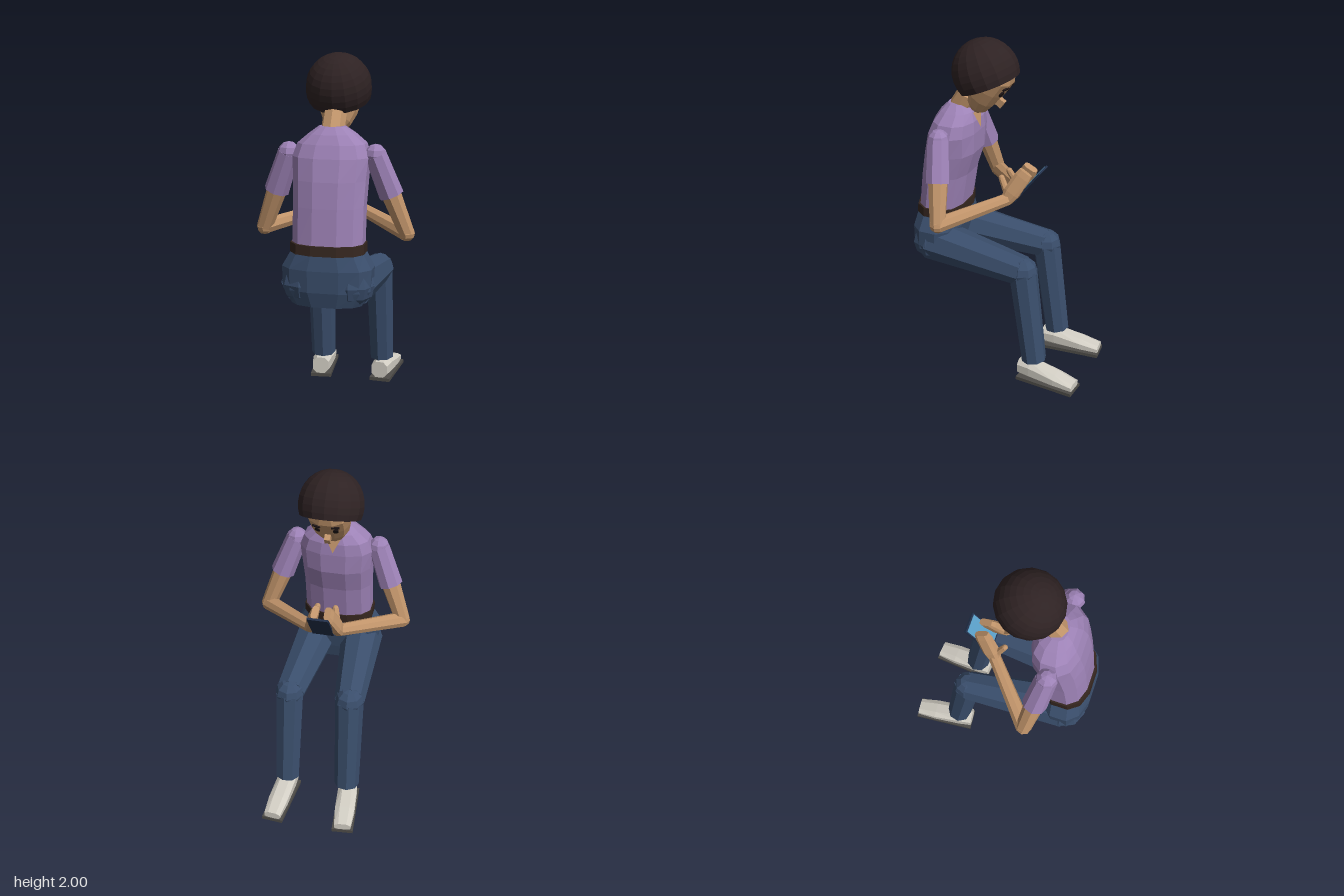
import * as THREE from 'three';

const mat = (name, color) => {
  const m = new THREE.MeshStandardMaterial({ color });
  m.name = name;
  return m;
};

// Faceted normals for the low-poly look
function facet(geo) {
  const g = geo.index ? geo.toNonIndexed() : geo;
  g.computeVertexNormals();
  return g;
}

// Stack of rounded cross-sections along y; each ring is [y, halfWidth, zMin, zMax]
function loft(rings, sides = 12, power = 0.8) {
  const pos = [], idx = [];
  const soft = (v) => Math.sign(v) * Math.abs(v) ** power;
  for (const [y, w, z0, z1] of rings) {
    for (let i = 0; i < sides; i++) {
      const a = ((i + 0.5) / sides) * Math.PI * 2;
      pos.push(w * soft(Math.cos(a)), y, (z0 + z1) / 2 + ((z1 - z0) / 2) * soft(Math.sin(a)));
    }
  }
  const last = (rings.length - 1) * sides, low = rings.length * sides;
  for (const [y, , z0, z1] of [rings[0], rings[rings.length - 1]]) pos.push(0, y, (z0 + z1) / 2);
  for (let i = 0; i < sides; i++) {
    const n = (i + 1) % sides;
    for (let r = 0; r < last; r += sides) {
      idx.push(r + i, r + sides + i, r + n, r + n, r + sides + i, r + sides + n);
    }
    idx.push(low, i, n, low + 1, last + n, last + i);
  }
  const g = new THREE.BufferGeometry();
  g.setAttribute('position', new THREE.Float32BufferAttribute(pos, 3));
  g.setIndex(idx);
  return g;
}

export function createModel() {
  const model = new THREE.Group();
  const skin = mat('skin', 0xc2956b), shirt = mat('shirt', 0x9d82b6), jeans = mat('jeans', 0x3a4e6c);
  const hairMat = mat('hair', 0x2e2223), leather = mat('belt leather', 0x35261f), dark = mat('eye dark', 0x1e1516);
  const shoeMat = mat('shoe', 0xd2cec4), soleMat = mat('sole', 0x4e4c48);
  const caseMat = mat('phone case', 0x22304a), screenMat = mat('phone screen', 0x5a9fc8);
  hairMat.side = THREE.DoubleSide;
  skin.side = THREE.DoubleSide;

  const add = (parent, name, geo, material, p = [0, 0, 0]) => {
    const m = new THREE.Mesh(facet(geo), material);
    m.name = name;
    m.position.set(...p);
    parent.add(m);
    return m;
  };
  const UP = new THREE.Vector3(0, 1, 0);
  // Tapered eight-sided limb from a to b
  const limb = (name, a, b, ra, rb, material) => {
    const A = new THREE.Vector3(...a), B = new THREE.Vector3(...b), d = B.clone().sub(A);
    const m = add(model, name, new THREE.CylinderGeometry(rb, ra, d.length(), 8), material);
    m.position.copy(A).add(B).multiplyScalar(0.5);
    m.quaternion.setFromUnitVectors(UP, d.normalize());
    return m;
  };
  const joint = (name, p, r, material) => add(model, name, new THREE.SphereGeometry(r, 8, 6), material, p);

  // Torso, belt and hips
  add(model, 'shirt', loft([
    [1.0, 0.2, 0.25, 0.515], [1.2, 0.2, 0.215, 0.495], [1.34, 0.205, 0.17, 0.475], [1.46, 0.215, 0.165, 0.445],
    [1.53, 0.19, 0.17, 0.415], [1.58, 0.13, 0.19, 0.385], [1.62, 0.075, 0.24, 0.345],
  ]), shirt);
  add(model, 'belt', loft([[0.95, 0.21, 0.243, 0.535], [1.003, 0.21, 0.243, 0.528]]), leather);
  add(model, 'hips', loft([
    [0.665, 0.2, 0.29, 0.523], [0.75, 0.25, 0.27, 0.543], [0.87, 0.255, 0.25, 0.545], [0.95, 0.208, 0.25, 0.53],
  ]), jeans);

  // Skin showing in the neckline
  const vee = new THREE.BufferGeometry();
  vee.setAttribute('position', new THREE.Float32BufferAttribute(
    [-0.05, 1.58, 0.183, 0.05, 1.58, 0.183, 0, 1.48, 0.161], 3));
  add(model, 'neckline', vee, skin);
  limb('neck', [0, 1.53, 0.32], [0, 1.676, 0.231], 0.068, 0.064, skin);

  // Head bowed forward, with face details
  const head = new THREE.Group();
  head.name = 'head';
  head.position.set(0, 1.77, 0.1);
  head.rotation.x = -0.61;
  model.add(head);
  add(head, 'face', loft([
    [-0.2, 0.04, -0.065, 0.01], [-0.165, 0.075, -0.09, 0.04], [-0.1, 0.105, -0.104, 0.075],
    [-0.02, 0.122, -0.11, 0.1], [0.07, 0.125, -0.112, 0.1], [0.13, 0.09, -0.085, 0.07],
  ], 12, 0.9), skin);
  add(head, 'nose', new THREE.BoxGeometry(0.032, 0.045, 0.045), skin, [0, -0.065, -0.118]);
  for (const s of [-1, 1]) {
    const eye = add(head, 'eye', new THREE.CylinderGeometry(0.016, 0.016, 0.009, 8).rotateX(Math.PI / 2), dark,
      [s * 0.05, 0.008, -0.104]);
    eye.scale.y = 1.3;
    eye.rotation.y = s * -0.2;
    const brow = add(head, 'eyebrow', new THREE.BoxGeometry(0.046, 0.012, 0.009), dark, [s * 0.052, 0.05, -0.106]);
    brow.rotation.set(0, s * -0.2, s * -0.12);
  }

  // Hair cap, higher over the forehead than at the nape, closed underneath
  const hair = new THREE.Group();
  hair.name = 'hair';
  hair.position.set(0, 1.813, 0.128);
  hair.rotation.x = 0.4;
  hair.scale.x = 0.97;
  model.add(hair);
  const R = 0.189, cut = 1.95;
  add(hair, 'hair cap', new THREE.SphereGeometry(R, 16, 10, 0, Math.PI * 2, 0, cut), hairMat);
  add(hair, 'hair underside', new THREE.CircleGeometry(R * Math.sin(cut), 16).rotateX(Math.PI / 2), hairMat,
    [0, R * Math.cos(cut), 0]);

  for (const s of [-1, 1]) {
    const side = s > 0 ? 'left' : 'right';

    // Leg
    const hip = [s * 0.135, 0.775, 0.41], knee = [s * 0.177, 0.718, -0.18];
    joint(side + 'HipJoint', hip, 0.125, jeans);
    limb(side + 'Thigh', hip, knee, 0.127, 0.087, jeans);
    joint(side + 'Knee', knee, 0.085, jeans);
    limb(side + 'Shin', knee, [s * 0.183, 0.137, -0.257], 0.083, 0.073, jeans);

    // Shoe, toes turned slightly out
    const foot = new THREE.Group();
    foot.name = side + 'Shoe';
    foot.position.set(s * 0.183, 0, -0.172);
    foot.rotation.y = s * -0.085;
    model.add(foot);
    add(foot, 'shoeUpper', loft([
      [0, 0.052, 0.02, 0.125], [0.08, 0.06, 0.015, 0.132], [0.24, 0.062, 0.015, 0.095], [0.355, 0.052, 0.015, 0.062],
    ], 8).rotateX(-Math.PI / 2), shoeMat);
    add(foot, 'sole', new THREE.BoxGeometry(0.125, 0.02, 0.36), soleMat, [0, 0.01, -0.18]);

    // Arm
    const shoulder = [s * 0.24, 1.47, 0.305], elbow = [s * 0.403, 1.035, 0.24], wrist = [s * 0.085, 1.105, -0.04];
    const cuff = [s * 0.322, 1.25, 0.272];
    joint(side + 'Shoulder', shoulder, 0.062, shirt);
    limb(side + 'Sleeve', shoulder, cuff, 0.062, 0.07, shirt);
    limb(side + 'UpperArm', cuff, elbow, 0.056, 0.045, skin);
    joint(side + 'Elbow', elbow, 0.046, skin);
    limb(side + 'Forearm', elbow, wrist, 0.046, 0.036, skin);

    // Hand and thumb
    const hand = add(model, side + 'Hand', loft([
      [-0.01, 0.028, -0.035, 0.035], [0.05, 0.032, -0.048, 0.048], [0.16, 0.026, -0.048, 0.048], [0.195, 0.02, -0.042, 0.042],
    ], 8, 0.6), skin, wrist);
    hand.quaternion.setFromUnitVectors(UP, new THREE.Vector3(s * -0.05, 0.165, -0.092).normalize());
    const tip = [s * 0.052, 1.215, 0.01];
    limb(side + 'Thumb', [s * 0.07, 1.14, -0.03], tip, 0.021, 0.018, skin);
    joint(side + 'ThumbTip', tip, 0.018, skin);
  }

  // Phone held between the hands, screen towards the face
  const phone = new THREE.Group();
  phone.name = 'phone';
  phone.position.set(0, 1.187, -0.147);
  phone.rotation.x = -0.64;
  model.add(phone);
  add(phone, 'phoneBody', new THREE.BoxGeometry(0.122, 0.245, 0.012), caseMat);
  add(phone, 'phoneScreen', new THREE.BoxGeometry(0.108, 0.222, 0.004), screenMat, [0, 0, 0.007]);

  return model;
}
